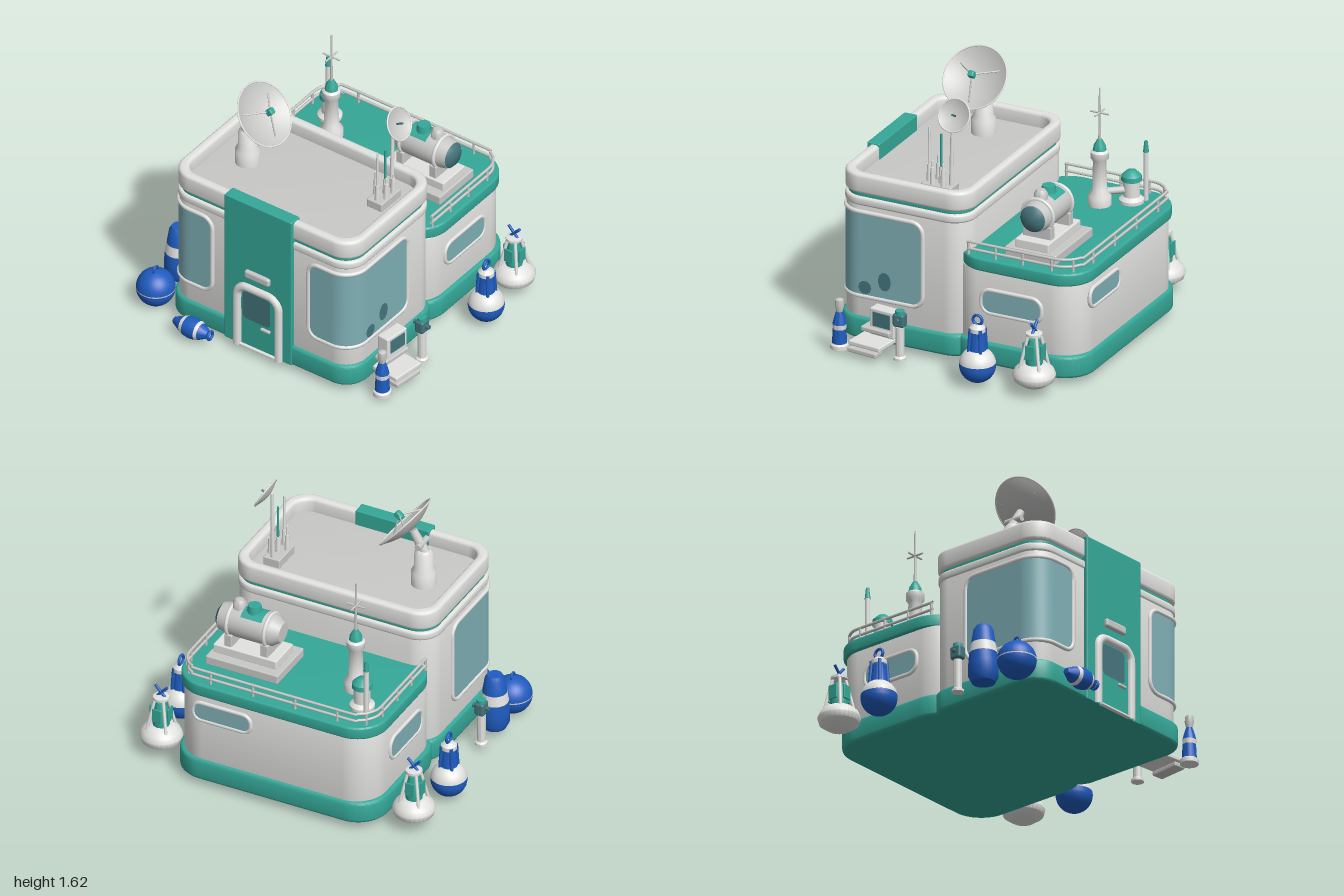
import * as THREE from 'three';
import { toCreasedNormals } from 'three/addons/utils/BufferGeometryUtils.js';
import { RoundedBoxGeometry } from 'three/addons/geometries/RoundedBoxGeometry.js';

const mat = (name, color) => new THREE.MeshStandardMaterial({ name, color, side: THREE.DoubleSide });
const white = mat('white', 0xe2e2e0), teal = mat('teal', 0x35a898), glass = mat('glass', 0x7fb0b6),
  dark = mat('dark glass', 0x44757c), grey = mat('grey', 0xc9c9c8), blue = mat('blue', 0x1f5cc0);
const V = (x, y, z) => new THREE.Vector3(x, y, z);
const UP = V(0, 1, 0);

function add(parent, name, geo, m, x = 0, y = 0, z = 0) {
  const mesh = new THREE.Mesh(geo, m);
  mesh.name = name;
  mesh.position.set(x, y, z);
  parent.add(mesh);
  return mesh;
}
function group(parent, name, x = 0, y = 0, z = 0) {
  const g = new THREE.Group();
  g.name = name;
  g.position.set(x, y, z);
  parent.add(g);
  return g;
}
function roundRect(x0, x1, y0, y1, r, s = new THREE.Shape()) {
  s.moveTo(x0 + r, y0).lineTo(x1 - r, y0).absarc(x1 - r, y0 + r, r, -Math.PI / 2, 0)
    .lineTo(x1, y1 - r).absarc(x1 - r, y1 - r, r, 0, Math.PI / 2)
    .lineTo(x0 + r, y1).absarc(x0 + r, y1 - r, r, Math.PI / 2, Math.PI)
    .lineTo(x0, y0 + r).absarc(x0 + r, y0 + r, r, Math.PI, Math.PI * 1.5);
  return s;
}
// Rounded plan extruded upwards; rim > 0 leaves only a ring of that width
function slab(parent, name, m, hx, z0, z1, r, y0, y1, b = 0.012, rim = 0) {
  const s = roundRect(-hx, hx, -z1, -z0, r);
  if (rim) s.holes.push(roundRect(-hx + rim, hx - rim, -z1 + rim, -z0 - rim, r - rim * 0.6, new THREE.Path()));
  const g = new THREE.ExtrudeGeometry(s, { depth: y1 - y0 - 2 * b, bevelSize: b, bevelThickness: b,
    bevelOffset: -b, bevelSegments: 3, curveSegments: 10 });
  g.translate(0, 0, b).rotateX(-Math.PI / 2);
  return add(parent, name, toCreasedNormals(g, 0.7), m, 0, y0, 0);
}
function lathe(parent, name, m, pts, x = 0, y = 0, z = 0) {
  const g = new THREE.LatheGeometry(pts.map(p => new THREE.Vector2(...p)), 28);
  return add(parent, name, toCreasedNormals(g, 0.7), m, x, y, z);
}
function rod(parent, name, m, a, b, r0, r1 = r0) {
  const d = b.clone().sub(a), c = a.clone().add(b).multiplyScalar(0.5);
  const mesh = add(parent, name, new THREE.CylinderGeometry(r1, r0, d.length(), 12), m, c.x, c.y, c.z);
  mesh.quaternion.setFromUnitVectors(UP, d.normalize());
  return mesh;
}
const box = (p, name, m, w, h, d, x, y, z, r = 0.008) =>
  add(p, name, new RoundedBoxGeometry(w, h, d, 2, r), m, x, y, z);
const tube = (p, name, m, pts, r, closed = false, n = 80) =>
  add(p, name, new THREE.TubeGeometry(new THREE.CatmullRomCurve3(pts, closed, 'catmullrom', 0.3), n, r, 8, closed), m);
// Slice of a sphere between two heights given as fractions of the radius
function ballBand(p, name, m, r, f0, f1, y) {
  const pts = [];
  for (let i = 0; i <= 10; i++) {
    const f = f0 + (f1 - f0) * i / 10;
    pts.push([r * Math.sqrt(Math.max(0, 1 - f * f)), r * f]);
  }
  return lathe(p, name, m, pts, 0, y, 0);
}

// Window pane and frame bent around the front corner of the tower
function cornerWindow(parent) {
  const A = 0.17, R = 0.14, ARC = R * Math.PI / 2, L = A + ARC + 0.42, y0 = 0.32, y1 = 0.86, cr = 0.07;
  const at = (s, y, o) => {
    if (s < A) return V(0.35 + s, y, 0.71 + o);
    if (s > A + ARC) return V(0.66 + o, y, 0.57 - (s - A - ARC));
    const a = (s - A) / R;
    return V(0.52 + (R + o) * Math.sin(a), y, 0.57 + (R + o) * Math.cos(a));
  };
  const pane = new THREE.PlaneGeometry(1, 1, 64, 1), p = pane.attributes.position;
  for (let i = 0; i < p.count; i++) {
    const s = (p.getX(i) + 0.5) * L, e = Math.max(0, cr - Math.min(s, L - s));
    const inset = cr - Math.sqrt(Math.max(0, cr * cr - e * e));
    const v = at(s, p.getY(i) > 0 ? y1 - inset : y0 + inset, 0.006);
    p.setXYZ(i, v.x, v.y, v.z);
  }
  pane.computeVertexNormals();
  add(parent, 'cornerWindowPane', pane, glass);
  const outline = roundRect(0, L, y0, y1, cr).getSpacedPoints(90).slice(0, -1);
  tube(parent, 'cornerWindowFrame', white, outline.map(q => at(q.x, q.y, 0.002)), 0.014, true, 160);
}
// Flat slot window with a raised frame, facing +z before it is turned
function slotWindow(parent, w, h, x, y, z, turn) {
  const g = group(parent, 'slotWindow', x, y, z), s = roundRect(-w / 2, w / 2, -h / 2, h / 2, h * 0.42);
  g.rotation.y = turn;
  add(g, 'slotPane', new THREE.ShapeGeometry(s), glass, 0, 0, 0.006);
  tube(g, 'slotFrame', white, s.getSpacedPoints(48).slice(0, -1).map(q => V(q.x, q.y, 0)), 0.013, true);
}
function dish(parent, name, r, depth, pos, axis) {
  const g = group(parent, name, pos.x, pos.y, pos.z), pts = [];
  g.quaternion.setFromUnitVectors(UP, axis.normalize());
  for (let i = 0; i <= 10; i++) pts.push([r * i / 10, depth * (i * i / 100 - 1)]);
  lathe(g, 'dishBowl', grey, pts);
  add(g, 'dishRim', new THREE.TorusGeometry(r, 0.005, 8, 40).rotateX(Math.PI / 2), white);
  return g;
}
// Broad white buoy with a tapered cage
function cageBuoy(parent, x, z) {
  const g = group(parent, 'cageBuoy', x, 0, z);
  lathe(g, 'float', white, [[0, 0.06], [0.07, 0.065], [0.12, 0.1], [0.13, 0.135], [0.115, 0.17], [0.08, 0.2], [0, 0.21]]);
  lathe(g, 'cageCore', teal, [[0.05, 0.2], [0.055, 0.26], [0.03, 0.36], [0, 0.36]]);
  for (let i = 0; i < 4; i++) {
    const a = i * Math.PI / 2 + Math.PI / 4, c = Math.cos(a), s = Math.sin(a);
    rod(g, 'cageLeg', white, V(0.09 * c, 0.18, 0.09 * s), V(0.035 * c, 0.4, 0.035 * s), 0.01);
    const panel = box(g, 'cagePanel', teal, 0.06, 0.09, 0.01, 0.058 * Math.sin(a + 0.785), 0.29, 0.058 * Math.cos(a + 0.785), 0.003);
    panel.rotation.y = a + 0.785;
  }
  lathe(g, 'cageTop', white, [[0, 0.38], [0.05, 0.385], [0.05, 0.4], [0, 0.41]]);
  for (const s of [-1, 1]) rod(g, 'topMark', blue, V(-0.025 * s, 0.4, 0), V(0.04 * s, 0.47, 0), 0.009);
}
// Round blue and white buoy with a lantern neck and lifting ring
function ringBuoy(parent, x, z) {
  const g = group(parent, 'ringBuoy', x, 0, z);
  ballBand(g, 'floatBottom', blue, 0.11, -1, 0.15, 0.145);
  ballBand(g, 'floatTop', white, 0.111, 0.15, 0.9, 0.145);
  lathe(g, 'neck', blue, [[0.055, 0.23], [0.05, 0.26], [0.036, 0.37]]);
  for (let i = 0; i < 4; i++) {
    const a = i * Math.PI / 2 + 0.785, c = Math.cos(a), s = Math.sin(a);
    rod(g, 'neckBar', blue, V(0.055 * c, 0.23, 0.055 * s), V(0.045 * c, 0.38, 0.045 * s), 0.011);
  }
  lathe(g, 'neckCap', white, [[0, 0.36], [0.048, 0.36], [0.048, 0.385], [0.025, 0.405], [0, 0.405]]);
  add(g, 'liftingRing', new THREE.TorusGeometry(0.03, 0.009, 8, 20), blue, 0, 0.432, 0).rotation.y = Math.PI / 2;
}
function mooringPost(parent, x, z) {
  const g = group(parent, 'mooringPost', x, 0, z);
  lathe(g, 'post', white, [[0, 0.04], [0.038, 0.04], [0.038, 0.055], [0.026, 0.065], [0.026, 0.25], [0, 0.25]]);
  box(g, 'postLamp', dark, 0.062, 0.085, 0.075, 0, 0.295, 0, 0.015);
  rod(g, 'postPin', dark, V(-0.055, 0.3, 0), V(0.055, 0.3, 0), 0.014);
  rod(g, 'postTop', teal, V(0, 0.33, 0), V(0, 0.355, 0), 0.028);
}

export function createModel() {
  const root = new THREE.Group();
  root.name = 'floatingStation';

  // Hull and walls
  slab(root, 'towerBase', teal, 0.68, -0.15, 0.73, 0.15, 0.05, 0.19, 0.02);
  slab(root, 'rearBase', teal, 0.68, -0.9, 0.0, 0.2, 0.05, 0.19, 0.02);
  slab(root, 'towerWall', white, 0.66, -0.13, 0.71, 0.14, 0.17, 0.95);
  slab(root, 'rearWall', white, 0.655, -0.88, -0.02, 0.19, 0.17, 0.65);
  slab(root, 'rearDeck', teal, 0.673, -0.895, -0.04, 0.2, 0.64, 0.72);
  slab(root, 'towerStripe', teal, 0.648, -0.118, 0.698, 0.13, 0.94, 0.99, 0.005);
  slab(root, 'towerLedge', white, 0.668, -0.137, 0.717, 0.145, 0.9, 0.955, 0.015);
  slab(root, 'roofFloor', grey, 0.64, -0.11, 0.69, 0.13, 0.98, 1.01, 0.005);
  slab(root, 'roofParapet', white, 0.665, -0.14, 0.715, 0.14, 0.975, 1.1, 0.02, 0.06);

  // Windows
  for (const s of [1, -1]) {
    const side = group(root, 'sideWindows');
    side.scale.x = s;
    cornerWindow(side);
    slotWindow(side, 0.4, 0.15, 0.656, 0.45, -0.435, Math.PI / 2);
  }
  slotWindow(root, 0.38, 0.12, 0.33, 0.53, -0.884, Math.PI);
  for (const [z, y, h] of [[0.53, 0.38, 1], [0.4, 0.44, 1.4]]) {
    const m = add(root, 'windowSpot', new THREE.CircleGeometry(0.043, 10), dark, 0.67, y, z);
    m.rotation.y = Math.PI / 2;
    m.scale.y = h;
  }

  // Front panel and door
  box(root, 'frontPanel', teal, 0.49, 1.06, 0.085, -0.003, 0.58, 0.6925);
  tube(root, 'doorFrame', white, [V(-0.15, 0.05, 0.735), V(-0.15, 0.25, 0.735), V(-0.148, 0.44, 0.735), V(-0.1, 0.492, 0.735),
    V(0, 0.495, 0.735), V(0.1, 0.492, 0.735), V(0.148, 0.44, 0.735), V(0.15, 0.25, 0.735), V(0.15, 0.05, 0.735)], 0.027);
  box(root, 'doorStep', white, 0.26, 0.015, 0.03, 0, 0.058, 0.738, 0.004);
  add(root, 'doorWindow', new THREE.ShapeGeometry(roundRect(-0.11, 0.09, 0.26, 0.46, 0.03)), dark, 0, 0, 0.739);
  box(root, 'doorHandle', grey, 0.07, 0.02, 0.02, 0.06, 0.235, 0.745);
  box(root, 'doorLamp', grey, 0.18, 0.055, 0.04, 0, 0.6, 0.738, 0.015);

  // Large dish with pedestal, feed and struts
  lathe(root, 'dishPedestal', white, [[0.075, 1], [0.075, 1.1], [0.058, 1.13], [0.055, 1.23], [0.04, 1.25], [0, 1.25]], -0.4, 0, 0.29);
  rod(root, 'dishArm', grey, V(-0.41, 1.23, 0.29), V(-0.33, 1.365, 0.29), 0.035, 0.025);
  rod(root, 'dishPivot', grey, V(-0.39, 1.29, 0.23), V(-0.39, 1.29, 0.35), 0.02);
  const big = dish(root, 'largeDish', 0.2, 0.06, V(-0.28, 1.41, 0.285), V(0.755, 0.655, 0));
  for (let i = 0; i < 3; i++) {
    const a = i * Math.PI * 2 / 3;
    rod(big, 'feedStrut', grey, V(0.15 * Math.cos(a), -0.025, 0.15 * Math.sin(a)), V(0, 0.055, 0), 0.005);
  }
  box(big, 'feedHorn', teal, 0.04, 0.05, 0.04, 0, 0.055, 0, 0.01);

  // Small dish and aerial bank
  box(root, 'aerialBase', grey, 0.11, 0.06, 0.2, 0.478, 1.035, 0.13);
  rod(root, 'smallDishMast', white, V(0.48, 1, 0.055), V(0.48, 1.52, 0.045), 0.014, 0.01);
  const small = dish(root, 'smallDish', 0.1, 0.025, V(0.51, 1.53, 0.02), V(0.87, 0.48, 0));
  rod(small, 'smallFeed', dark, V(0, -0.02, 0), V(0, 0.03, 0), 0.006);
  for (const [x, z, top, m] of [[0.48, 0.2, 1.41, white], [0.48, 0.12, 1.38, teal], [0.44, 0.16, 1.23, white], [0.515, 0.16, 1.21, white], [0.515, 0.09, 1.2, white]]) {
    rod(root, 'aerial', m, V(x, 1.05, z), V(x, top, z), 0.009, 0.006);
    rod(root, 'aerialFoot', white, V(x, 1.05, z), V(x, 1.17, z), 0.017, 0.012);
  }

  // Deck railing
  const X = 0.635, B = -0.855, c = 0.15;
  for (const y of [0.755, 0.8]) {
    const pts = [V(-X, y, -0.13), V(-X, y, -0.4), V(-X, y, B + c)];
    for (let a = 1; a <= 4; a++) pts.push(V(-X + c - c * Math.cos(a * Math.PI / 8), y, B + c - c * Math.sin(a * Math.PI / 8)));
    const half = pts.map(p => V(-p.x, p.y, p.z)).reverse();
    tube(root, 'deckRail', grey, [...pts, ...half], 0.009, false, 120);
  }
  for (const [x, z] of [[X, -0.14], [X, -0.32], [X, -0.5], [X, -0.69], [X - 0.044, B + 0.044], [0.42, B], [0.14, B]])
    for (const s of [-1, 1]) rod(root, 'railPost', grey, V(s * x, 0.71, z), V(s * x, 0.8, z), 0.008);

  // Deck tank on its cradle
  const tank = group(root, 'deckTank', 0.32, 0, -0.505);
  box(tank, 'cradlePlate', grey, 0.48, 0.06, 0.34, -0.01, 0.745, 0);
  box(tank, 'cradleBlock', white, 0.42, 0.06, 0.22, 0, 0.8, 0);
  for (const s of [-1, 1]) box(tank, 'cradleSaddle', grey, 0.05, 0.1, 0.19, 0.12 * s, 0.86, 0);
  const body = [[0, -0.2], [0.06, -0.2], [0.095, -0.15], [0.1, -0.12], [0.1, 0.12], [0.095, 0.15], [0.085, 0.2], [0.078, 0.2]];
  lathe(tank, 'tankBody', grey, body, 0, 0.97, 0).rotation.z = -Math.PI / 2;
  lathe(tank, 'tankWindow', dark, [[0.082, 0], [0.06, 0.02], [0, 0.03]], 0.2, 0.97, 0).rotation.z = -Math.PI / 2;
  for (const x of [-0.12, 0.13]) add(tank, 'tankBand', new THREE.TorusGeometry(0.101, 0.012, 8, 32), white, x, 0.97, 0).rotation.y = Math.PI / 2;
  add(tank, 'tankPatch', new THREE.CylinderGeometry(0.104, 0.104, 0.14, 20, 1, true, -0.75, 1.5).rotateZ(Math.PI / 2).rotateX(0), teal, -0.02, 0.97, 0)
    .rotation.x = -Math.PI / 2;
  rod(tank, 'tankHatch', teal, V(-0.01, 1.04, 0), V(-0.01, 1.11, 0), 0.05, 0.04);
  lathe(tank, 'tankCap', grey, [[0.04, 1.04], [0.04, 1.1], [0.025, 1.12], [0, 1.125]], 0.09, 0, 0);

  // Radio mast and deck fittings
  lathe(root, 'mastBody', white, [[0.07, 0.72], [0.07, 0.78], [0.045, 0.82], [0.04, 1.0], [0.055, 1.02], [0.055, 1.06], [0.03, 1.08]], -0.36, 0, -0.5);
  lathe(root, 'mastCap', teal, [[0.042, 1.06], [0.036, 1.1], [0.014, 1.14], [0, 1.14]], -0.36, 0, -0.5);
  rod(root, 'mastWhip', grey, V(-0.36, 1.12, -0.5), V(-0.36, 1.47, -0.5), 0.009, 0.005);
  for (const [x, z] of [[0.06, 0], [0, 0.06]])
    rod(root, 'mastCross', grey, V(-0.36 - x, 1.31, -0.5 - z), V(-0.36 + x, 1.31, -0.5 + z), 0.006);
  lathe(root, 'ventBody', white, [[0.075, 0.72], [0.075, 0.74], [0.05, 0.76], [0.05, 0.86], [0.06, 0.87]], -0.48, 0, -0.65);
  lathe(root, 'ventCap', teal, [[0.062, 0.86], [0.06, 0.89], [0.03, 0.92], [0, 0.925]], -0.48, 0, -0.65);
  rod(root, 'ventPipe', grey, V(-0.48, 0.8, -0.65), V(-0.36, 0.8, -0.5), 0.022);
  rod(root, 'beaconPole', white, V(-0.54, 0.72, -0.715), V(-0.54, 1.04, -0.715), 0.016);
  rod(root, 'beaconTip', teal, V(-0.54, 1.03, -0.715), V(-0.54, 1.1, -0.715), 0.018, 0.01);

  // Paired buoys and posts beside the hull
  for (const s of [-1, 1]) {
    cageBuoy(root, 0.84 * s, -0.68);
    ringBuoy(root, 0.89 * s, -0.33);
    mooringPost(root, 0.82 * s, 0.22);
  }

  // Round float, can buoy, lying float and spar buoy
  const ball = group(root, 'roundFloat', -0.8, 0, 0.66);
  ballBand(ball, 'ballBottom', blue, 0.118, -1, -0.02, 0.125);
  ballBand(ball, 'ballStripe', grey, 0.118, -0.02, 0.05, 0.125);
  ballBand(ball, 'ballTop', blue, 0.118, 0.05, 1, 0.125);
  add(ball, 'ballRing', new THREE.TorusGeometry(0.022, 0.007, 8, 18), blue, 0, 0.25, 0).rotation.y = Math.PI / 2;

  const can = group(root, 'canBuoy', -0.81, 0, 0.41);
  lathe(can, 'canBottom', blue, [[0, 0.04], [0.07, 0.05], [0.09, 0.09], [0.09, 0.17], [0.085, 0.235]]);
  lathe(can, 'canStripe', white, [[0.085, 0.235], [0.074, 0.3]]);
  lathe(can, 'canTop', blue, [[0.074, 0.3], [0.06, 0.39], [0.045, 0.415], [0, 0.415]]);

  const lying = group(root, 'lyingFloat', -0.41, 0.095, 0.825);
  lying.rotation.z = -Math.PI / 2;
  lathe(lying, 'floatTail', blue, [[0, -0.14], [0.02, -0.135], [0.052, -0.07]]);
  lathe(lying, 'floatStripe', white, [[0.052, -0.07], [0.06, -0.045]]);
  lathe(lying, 'floatMiddle', blue, [[0.06, -0.045], [0.067, 0], [0.06, 0.04]]);
  lathe(lying, 'floatStripe', white, [[0.06, 0.04], [0.053, 0.06]]);
  lathe(lying, 'floatNose', blue, [[0.053, 0.06], [0.025, 0.11], [0, 0.115]]);
  add(lying, 'floatRing', new THREE.TorusGeometry(0.025, 0.009, 8, 18), blue, 0, 0.125, 0).rotation.x = Math.PI / 2;

  const spar = group(root, 'sparBuoy', 0.82, 0, 0.62);
  lathe(spar, 'sparFoot', white, [[0, 0.035], [0.056, 0.035], [0.056, 0.06], [0.045, 0.07]]);
  lathe(spar, 'sparLower', blue, [[0.045, 0.07], [0.04, 0.16]]);
  lathe(spar, 'sparStripe', white, [[0.04, 0.16], [0.042, 0.19]]);
  lathe(spar, 'sparUpper', blue, [[0.042, 0.19], [0.034, 0.225], [0.02, 0.27]]);
  lathe(spar, 'sparLight', grey, [[0.015, 0.25], [0.028, 0.31], [0.024, 0.345], [0, 0.355]]);

  // Boarding steps on the left side
  const steps = group(root, 'boardingSteps', 0.7, 0, 0.4);
  steps.rotation.y = -0.12;
  box(steps, 'landing', white, 0.2, 0.03, 0.22, 0.08, 0.1, 0.01);
  box(steps, 'lowerStep', grey, 0.08, 0.03, 0.2, 0.15, 0.06, 0.02);
  box(steps, 'upperStep', grey, 0.1, 0.03, 0.2, 0.03, 0.16, 0.0);
  box(steps, 'stepHousing', white, 0.08, 0.17, 0.17, 0.01, 0.21, -0.03);
  box(steps, 'housingOpening', dark, 0.008, 0.09, 0.12, 0.052, 0.23, -0.03, 0.002);
  return root;
}
